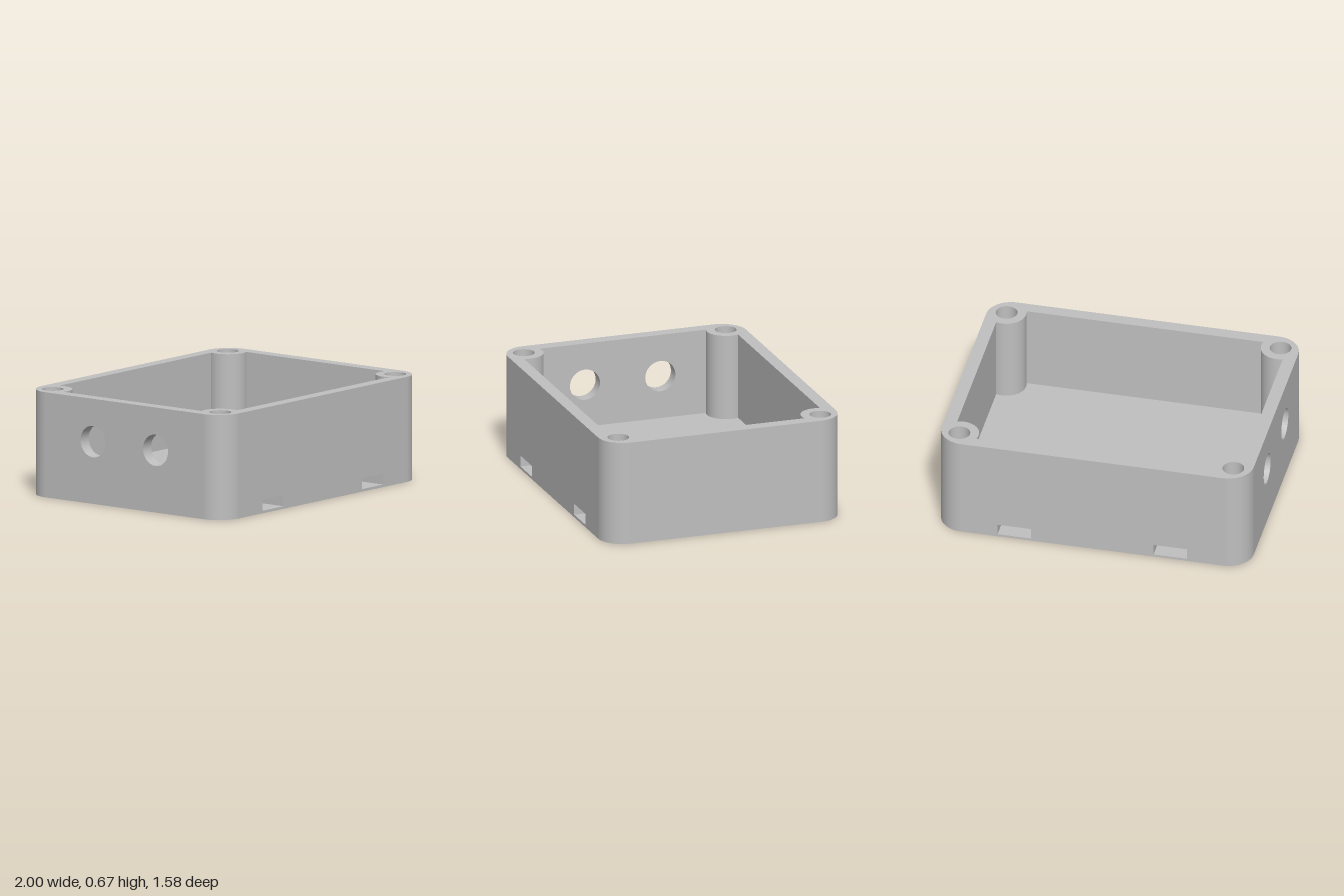
import * as THREE from 'three';

// Main sizes
const HX = 1, HZ = 0.79, H = 0.667, CORNER = 0.16;  // outer shell
const IX = 0.918, IZ = 0.71, FLOOR = 0.118;         // cavity
const PX = 0.878, PZ = 0.67, POST = 0.124, SCREW = 0.068;
const SLOT = { x: 0.5, w: 0.213, y0: 0.016, y1: 0.088 };
const PORT = { z: 0.25, y: 0.395, r: 0.1 };
const ALPHA = Math.asin((IX - PX) / POST);          // where a post meets the cavity wall
const SEG = 16;

// The four corners, each with its signs and outward angle
const corners = [0, 1, 2, 3].map((k) => {
  const a = Math.PI / 4 + k * Math.PI / 2;
  return { a, sx: Math.sign(Math.sin(a)), sz: Math.sign(Math.cos(a)) };
});

// Plan points on an arc, measured from +z towards +x
function arc(cx, cz, r, from, to, n = SEG) {
  return Array.from({ length: n + 1 }, (_, i) => {
    const t = from + (to - from) * i / n;
    return new THREE.Vector2(cx + r * Math.sin(t), -(cz + r * Math.cos(t)));
  });
}
const circle = (x, y, r) => arc(x, -y, r, 0, Math.PI * 2, 32).slice(0, -1);
const rect = (x0, x1, y0, y1) =>
  [[x0, y0], [x1, y0], [x1, y1], [x0, y1]].map((p) => new THREE.Vector2(...p));

function face(points, holes = []) {
  const shape = new THREE.Shape(points);
  holes.forEach((h) => shape.holes.push(new THREE.Path(h)));
  return new THREE.ShapeGeometry(shape);
}

export function createModel() {
  const group = new THREE.Group();
  const grey = new THREE.MeshStandardMaterial({ color: 0xbfbfbf, side: THREE.DoubleSide });
  grey.name = 'light grey plastic';
  const add = (name, geometry) => {
    const mesh = new THREE.Mesh(geometry, grey);
    mesh.name = name;
    group.add(mesh);
    return mesh;
  };

  // Upright flat panel turned to face an angle, at a distance from the centre
  function panel(name, half, y0, angle, dist, holes) {
    const g = face(rect(-half, half, y0, H), holes);
    g.translate(0, 0, dist).rotateY(angle);
    add(name, g);
  }
  // Open vertical cylinder segment
  function upright(name, x, z, r, y0, start, length, seg = SEG) {
    const g = new THREE.CylinderGeometry(r, r, H - y0, seg, 1, true, start, length);
    add(name, g.translate(x, (H + y0) / 2, z));
  }

  // Plan outlines
  const half = Math.PI / 4 + ALPHA;
  const outer = corners.flatMap(({ a, sx, sz }) =>
    arc(sx * (HX - CORNER), sz * (HZ - CORNER), CORNER, a - Math.PI / 4, a + Math.PI / 4));
  const cavity = corners.flatMap(({ a, sx, sz }) =>
    arc(sx * PX, sz * PZ, POST, a + Math.PI + half, a + Math.PI - half));
  const screws = corners.map(({ sx, sz }) => circle(sx * PX, -sz * PZ, SCREW));

  // Horizontal faces
  add('base', face(outer).rotateX(Math.PI / 2));
  add('floor', face(cavity).rotateX(-Math.PI / 2).translate(0, FLOOR, 0));
  add('rim', face(outer, [cavity, ...screws]).rotateX(-Math.PI / 2).translate(0, H, 0));

  // Outer walls, with strap slots front and back and two ports on one side
  const slots = [-1, 1].map((s) =>
    rect(s * SLOT.x - SLOT.w / 2, s * SLOT.x + SLOT.w / 2, SLOT.y0, SLOT.y1));
  const ports = [-1, 1].map((s) => circle(s * PORT.z, PORT.y, PORT.r));
  panel('frontWall', HX - CORNER, 0, 0, HZ, slots);
  panel('backWall', HX - CORNER, 0, Math.PI, HZ, slots);
  panel('sideWall', HZ - CORNER, 0, Math.PI / 2, HX);
  panel('portWall', HZ - CORNER, 0, -Math.PI / 2, HX, ports);

  // Cavity walls, facing inwards
  const inX = PX - POST * Math.cos(ALPHA), inZ = PZ - POST * Math.cos(ALPHA);
  panel('innerFrontWall', inX, FLOOR, Math.PI, -IZ);
  panel('innerBackWall', inX, FLOOR, 0, -IZ);
  panel('innerSideWall', inZ, FLOOR, -Math.PI / 2, -IX);
  panel('innerPortWall', inZ, FLOOR, Math.PI / 2, -IX, ports);

  // Rounded corners, screw posts and blind screw holes
  corners.forEach(({ a, sx, sz }) => {
    upright('roundedCorner', sx * (HX - CORNER), sz * (HZ - CORNER), CORNER, 0,
      a - Math.PI / 4, Math.PI / 2);
    upright('screwPost', sx * PX, sz * PZ, POST, FLOOR, a + Math.PI - half, 2 * half);
    upright('screwHole', sx * PX, sz * PZ, SCREW, FLOOR, 0, Math.PI * 2, 32);
    const end = new THREE.CircleGeometry(SCREW, 32).rotateX(-Math.PI / 2);
    add('screwHoleEnd', end.translate(sx * PX, FLOOR, sz * PZ));
  });

  // Strap tunnels under the floor and bores through the port wall
  const h = SLOT.y1 - SLOT.y0, midY = (SLOT.y0 + SLOT.y1) / 2;
  [-1, 1].forEach((s) => {
    [[0, SLOT.w, h / 2], [Math.PI, SLOT.w, h / 2],
      [Math.PI / 2, h, SLOT.w / 2], [-Math.PI / 2, h, SLOT.w / 2]].forEach(([turn, w, d]) => {
      const g = new THREE.PlaneGeometry(w, HZ * 2).rotateX(-Math.PI / 2);
      add('strapTunnel', g.translate(0, -d, 0).rotateZ(turn).translate(s * SLOT.x, midY, 0));
    });
    const bore = new THREE.CylinderGeometry(PORT.r, PORT.r, HX - IX, 32, 1, true);
    add('portBore', bore.rotateZ(Math.PI / 2).translate(-(HX + IX) / 2, PORT.y, s * PORT.z));
  });

  return group;
}
